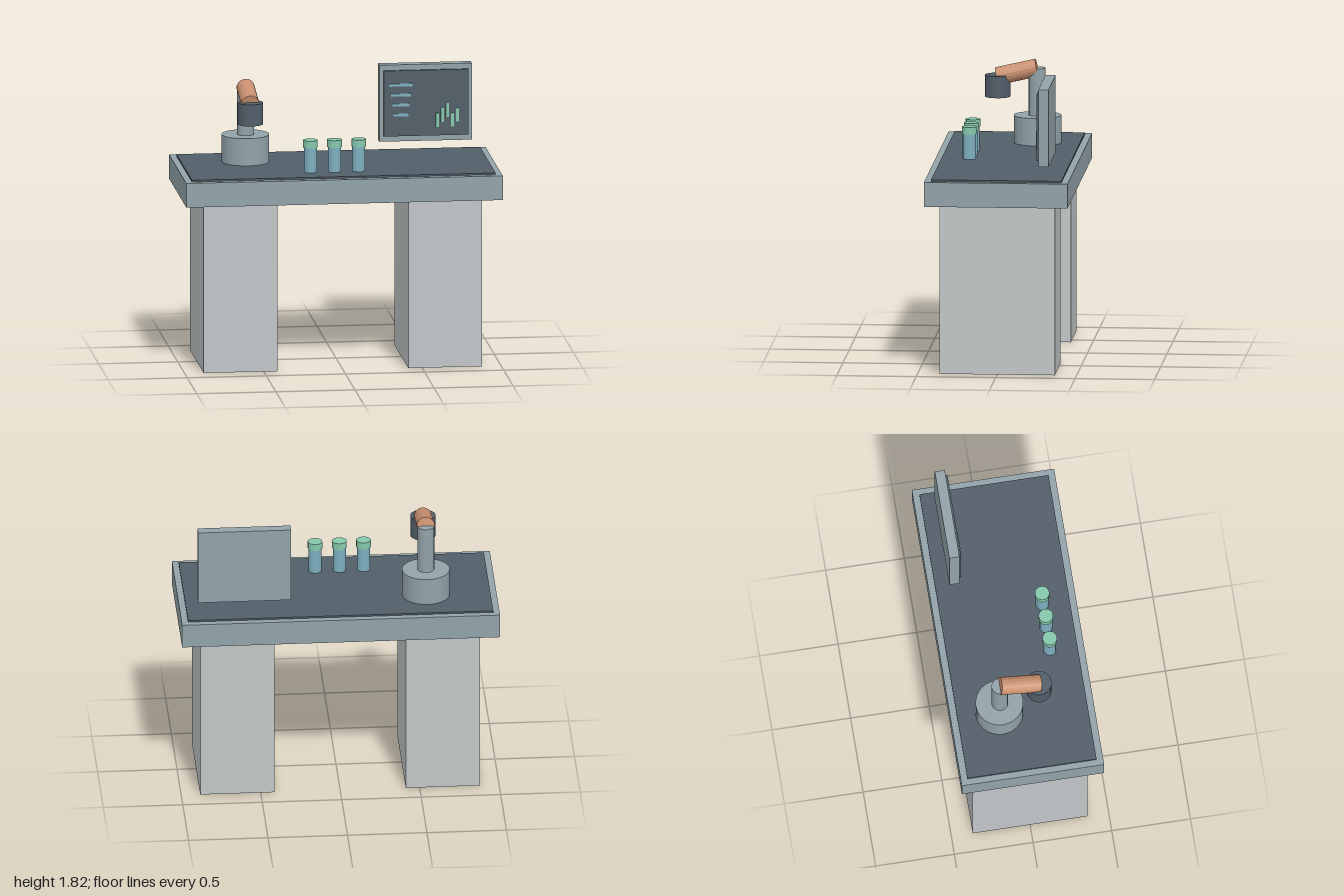
import * as THREE from 'three';

const mat = (name, color) => new THREE.MeshStandardMaterial({ name, color });

export function createModel() {
  const model = new THREE.Group();
  model.name = 'labBench';
  const frame = mat('grey blue', 0x92a3a9);
  const dark = mat('dark slate', 0x525e69);
  const pale = mat('pale grey', 0xc1c6c8);
  const copper = mat('copper', 0xc99070);
  const glass = mat('glass blue', 0x7eafc0);
  const green = mat('mint green', 0x86c8ac);

  const add = (parent, name, geometry, material, x, y, z) => {
    const mesh = new THREE.Mesh(geometry, material);
    mesh.name = name;
    mesh.position.set(x, y, z);
    parent.add(mesh);
    return mesh;
  };
  // Box given by its limits on each axis
  const box = (parent, name, material, [x0, x1], [y0, y1], [z0, z1]) =>
    add(parent, name, new THREE.BoxGeometry(x1 - x0, y1 - y0, z1 - z0), material,
      (x0 + x1) / 2, (y0 + y1) / 2, (z0 + z1) / 2);
  // Upright faceted cylinder from y0 to y1
  const cylinder = (parent, name, material, r, y0, y1, x, z, sides = 24) => {
    const g = new THREE.CylinderGeometry(r, r, y1 - y0, sides).toNonIndexed();
    g.computeVertexNormals();
    return add(parent, name, g, material, x, (y0 + y1) / 2, z);
  };
  const group = (name) => {
    const g = new THREE.Group();
    g.name = name;
    model.add(g);
    return g;
  };

  // Bench
  const bench = group('bench');
  box(bench, 'rightPedestal', pale, [-0.88, -0.413], [0, 1.08], [-0.364, 0.364]);
  box(bench, 'leftPedestal', pale, [0.413, 0.88], [0, 1.08], [-0.364, 0.364]);
  box(bench, 'tabletop', frame, [-1, 1], [1.08, 1.235], [-0.452, 0.452]);
  box(bench, 'workMat', dark, [-0.96, 0.96], [1.235, 1.246], [-0.41, 0.41]);

  // Robot arm
  const robot = group('robotArm');
  const rx = -0.555;
  cylinder(robot, 'base', frame, 0.15, 1.246, 1.42, rx, -0.143, 28);
  cylinder(robot, 'post', frame, 0.053, 1.42, 1.72, rx, -0.14, 20);
  const shoulder = new THREE.Vector3(rx, 1.721, -0.14);
  const wrist = new THREE.Vector3(rx, 1.663, 0.112);
  const direction = wrist.clone().sub(shoulder);
  const arm = cylinder(robot, 'upperArm', copper, 0.057, 0, direction.length(), rx, 0, 18);
  arm.position.copy(shoulder).add(wrist).multiplyScalar(0.5);
  arm.quaternion.setFromUnitVectors(new THREE.Vector3(0, 1, 0), direction.normalize());
  cylinder(robot, 'toolHead', dark, 0.08, 1.535, 1.673, rx, 0.108);

  // Sample vials
  const vials = group('vials');
  for (const x of [-0.19, -0.038, 0.115]) {
    cylinder(vials, 'vialBody', glass, 0.041, 1.246, 1.405, x, 0.235, 18);
    cylinder(vials, 'vialCap', green, 0.046, 1.403, 1.45, x, 0.235, 18);
  }

  // Display panel with a list and a bar chart
  const display = group('display');
  box(display, 'displayCase', frame, [0.305, 0.89], [1.325, 1.815], [-0.324, -0.26]);
  box(display, 'screen', dark, [0.332, 0.868], [1.36, 1.78], [-0.26, -0.247]);
  [0.145, 0.128, 0.108, 0.094].forEach((w, i) => {
    const y = 1.689 - i * 0.064;
    box(display, 'textLine', glass, [0.44 - w / 2, 0.44 + w / 2], [y - 0.009, y + 0.009], [-0.247, -0.238]);
  });
  [1.459, 1.491, 1.522, 1.459, 1.491].forEach((y, i) => {
    const x = 0.669 + i * 0.032;
    box(display, 'chartBar', green, [x - 0.01, x + 0.01], [y - 0.044, y + 0.044], [-0.247, -0.238]);
  });

  return model;
}
